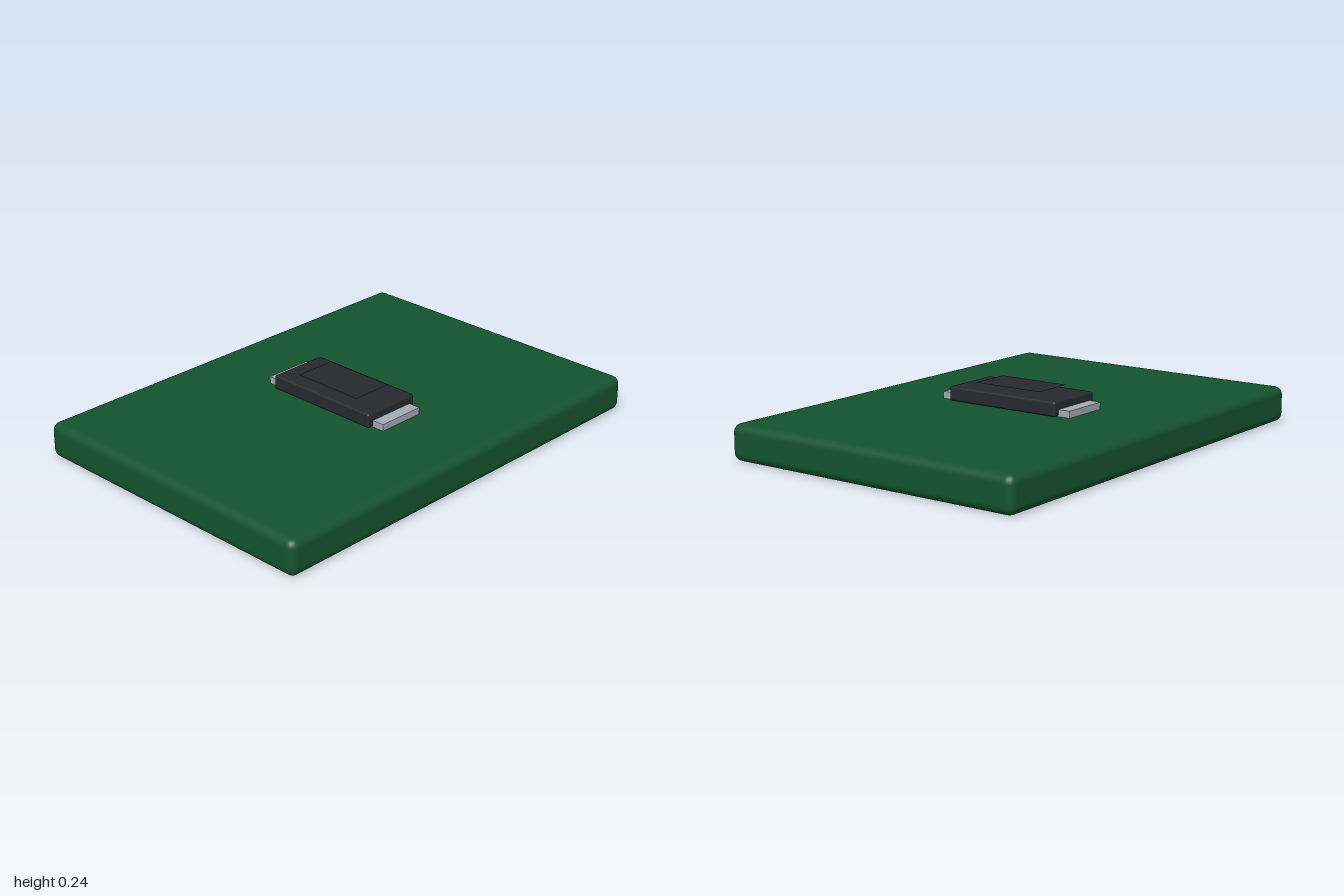
import * as THREE from 'three';
import { RoundedBoxGeometry } from 'three/addons/geometries/RoundedBoxGeometry.js';

const material = (color, extra = {}) => new THREE.MeshStandardMaterial({ color, ...extra });

function addPart(group, name, geometry, mat, x, y, z) {
  const mesh = new THREE.Mesh(geometry, mat);
  mesh.name = name;
  mesh.position.set(x, y, z);
  group.add(mesh);
  return mesh;
}

export function createModel() {
  const model = new THREE.Group();
  model.name = 'mountedChip';

  // Board with softly rounded edges
  addPart(model, 'board', new RoundedBoxGeometry(1.42, 0.156, 2, 3, 0.036),
    material(0x14532f), 0, 0.078, 0);

  // Component body
  const chip = new THREE.Group();
  chip.name = 'chip';
  model.add(chip);
  addPart(chip, 'chipBody', new RoundedBoxGeometry(0.55, 0.063, 0.276, 3, 0.01),
    material(0x27292d), 0, 0.19, 0);

  // Metal contacts at both ends, tucked under the body
  const metal = material(0xa5abb3);
  for (const side of [-1, 1]) {
    addPart(chip, side > 0 ? 'leftContact' : 'rightContact',
      new THREE.BoxGeometry(0.11, 0.03, 0.22), metal, side * 0.275, 0.172, 0);
  }

  // Thin marking plate just above the body
  const plate = addPart(chip, 'markingPlate', new THREE.PlaneGeometry(0.335, 0.19),
    material(0x27292d, { side: THREE.DoubleSide }), 0, 0.243, 0);
  plate.rotation.x = -Math.PI / 2;

  return model;
}
